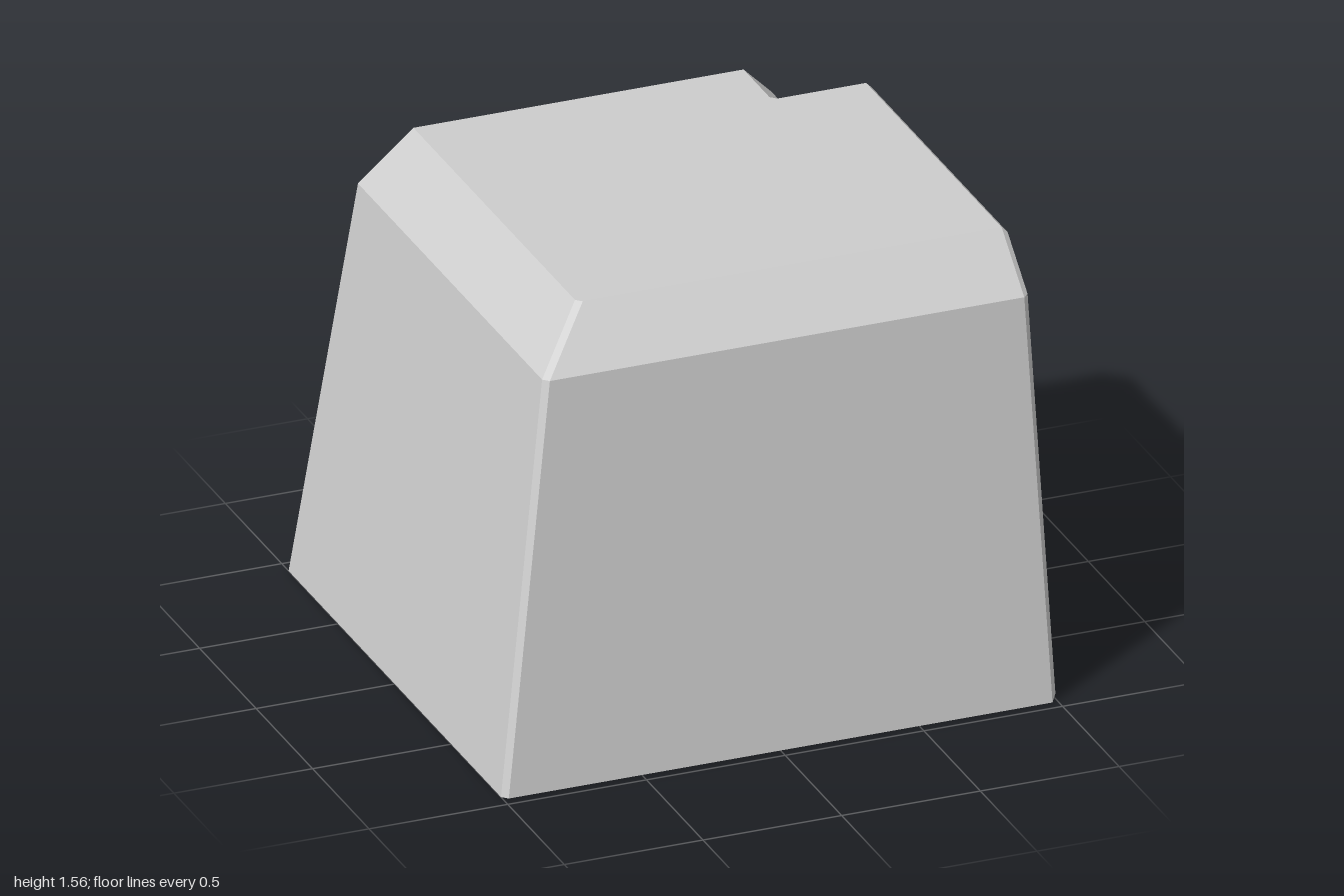
import * as THREE from 'three';

const C = 0.02;               // bevel width
const H = 1.56, SHOULDER = 1.39;

// How far the front and left walls lean inward at height y
const lean = y => y <= SHOULDER
  ? 0.25 * y / SHOULDER
  : 0.25 + 0.2 * (y - SHOULDER) / (H - SHOULDER);

// Horizontal outline at height y, counter-clockwise from above, from the front left corner
function outline(y) {
  const end = y === 0 || y === H;       // bevelled rims at bottom and top
  const inset = end ? C : 0, c = end ? 0 : C;
  const left = -1 + lean(y), front = 0.96 - lean(y);
  const right = 1 - inset, back = -0.96 + inset;
  const flare = Math.max(0, y - 1.46);  // notch widens towards the top
  const nx = 0.74 - flare, nz = -0.79 + flare;
  return [
    [left, front - C], [left + C, front],
    [right - c, front], [right, front - c],
    [right, nz + c], [right - c, nz],
    [nx + C, nz], [nx, nz - C],
    [nx, back + c], [nx - c, back],
    [left + c, back], [left, back + c],
  ].map(([x, z]) => new THREE.Vector3(x, y, z));
}

function blockGeometry() {
  const rings = [0, C, SHOULDER, 1.46, H - C, H].map(outline);
  const n = rings[0].length, pos = [];
  const tri = (a, b, c) => {
    const area = b.clone().sub(a).cross(c.clone().sub(a)).length();
    if (area > 1e-7) for (const p of [a, b, c]) pos.push(p.x, p.y, p.z);
  };
  // Walls between neighbouring outlines
  for (let k = 0; k < rings.length - 1; k++) {
    for (let i = 0; i < n; i++) {
      const j = (i + 1) % n, lo = rings[k], hi = rings[k + 1];
      tri(lo[i], lo[j], hi[j]);
      tri(lo[i], hi[j], hi[i]);
    }
  }
  // Flat top and underside
  const cap = (ring, up) => {
    const pts = ring.filter((p, i) => p.distanceTo(ring[(i + 1) % n]) > 1e-6);
    const flat = pts.map(p => new THREE.Vector2(p.x, -p.z));
    for (const [a, b, c] of THREE.ShapeUtils.triangulateShape(flat, [])) {
      if (up) tri(pts[a], pts[b], pts[c]);
      else tri(pts[a], pts[c], pts[b]);
    }
  };
  cap(rings[0], false);
  cap(rings[rings.length - 1], true);

  const geo = new THREE.BufferGeometry();
  geo.setAttribute('position', new THREE.Float32BufferAttribute(pos, 3));
  geo.computeVertexNormals();
  return geo;
}

export function createModel() {
  const group = new THREE.Group();
  group.name = 'notchedBlock';
  const grey = new THREE.MeshStandardMaterial({ color: 0xcccccc, flatShading: true });
  grey.name = 'light grey';
  const block = new THREE.Mesh(blockGeometry(), grey);
  block.name = 'block';
  group.add(block);
  return group;
}
